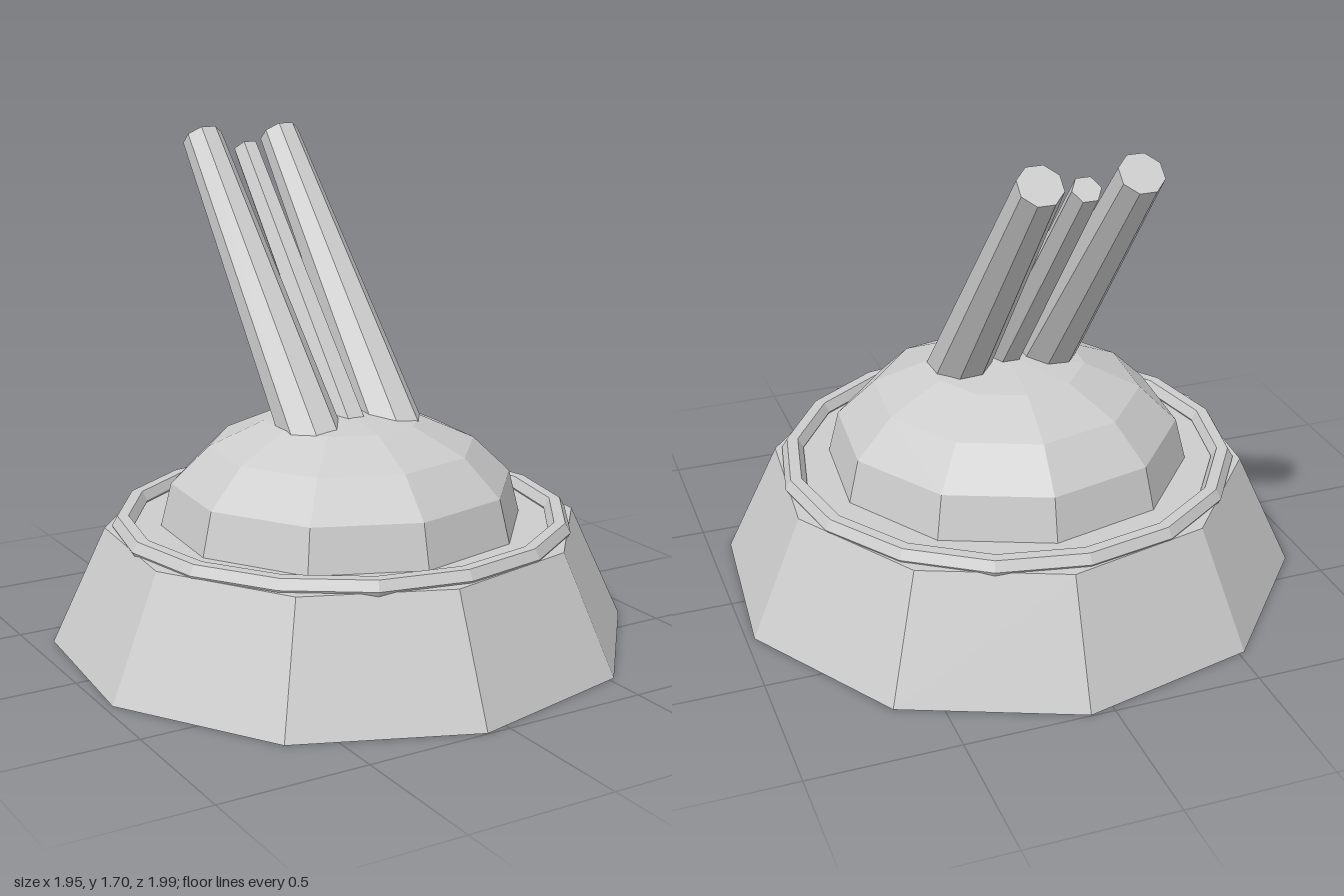
import * as THREE from 'three';

export function createModel() {
  const model = new THREE.Group();
  model.name = 'gunTurret';

  const grey = new THREE.MeshStandardMaterial({ color: 0xcccccc, flatShading: true });
  grey.name = 'light grey';

  const add = (name, geometry) => {
    const mesh = new THREE.Mesh(geometry, grey);
    mesh.name = name;
    model.add(mesh);
    return mesh;
  };

  const TWIST = -0.08; // base and dome share a slight turn about y

  // Ten-sided tapered base
  add('base', new THREE.CylinderGeometry(0.815, 1, 0.4, 10, 1, false, TWIST)).position.y = 0.2;

  // Hexagonal-section ring around the dome
  const ring = add('ring', new THREE.TorusGeometry(0.752, 0.038, 6, 16));
  ring.rotation.x = Math.PI / 2;
  ring.position.y = 0.407;

  // Faceted dome
  const profile = [[0.625, 0.395], [0.587, 0.547], [0.458, 0.672], [0.268, 0.757], [0, 0.787]]
    .map(([r, y]) => new THREE.Vector2(r, y));
  add('dome', new THREE.LatheGeometry(profile, 10, TWIST));

  // Barrels taper towards the tip and lean back; the origin is the tip of the big pair
  const tilt = 0.7;
  const barrel = (name, x, tipR, baseR, sides, start, end) => {
    const length = end - start;
    const geometry = new THREE.CylinderGeometry(tipR, baseR, length, sides, 1, false, Math.PI / sides);
    geometry.translate(0, start + length / 2, 0);
    const mesh = add(name, geometry);
    mesh.rotation.x = -tilt;
    mesh.position.set(x, 1.6575, -0.719);
  };
  barrel('leftBarrel', 0.157, 0.072, 0.108, 8, -1.31, 0);
  barrel('rightBarrel', -0.157, 0.072, 0.108, 8, -1.31, 0);
  barrel('middleBarrel', 0, 0.047, 0.062, 6, -1.3, -0.055);

  return model;
}
